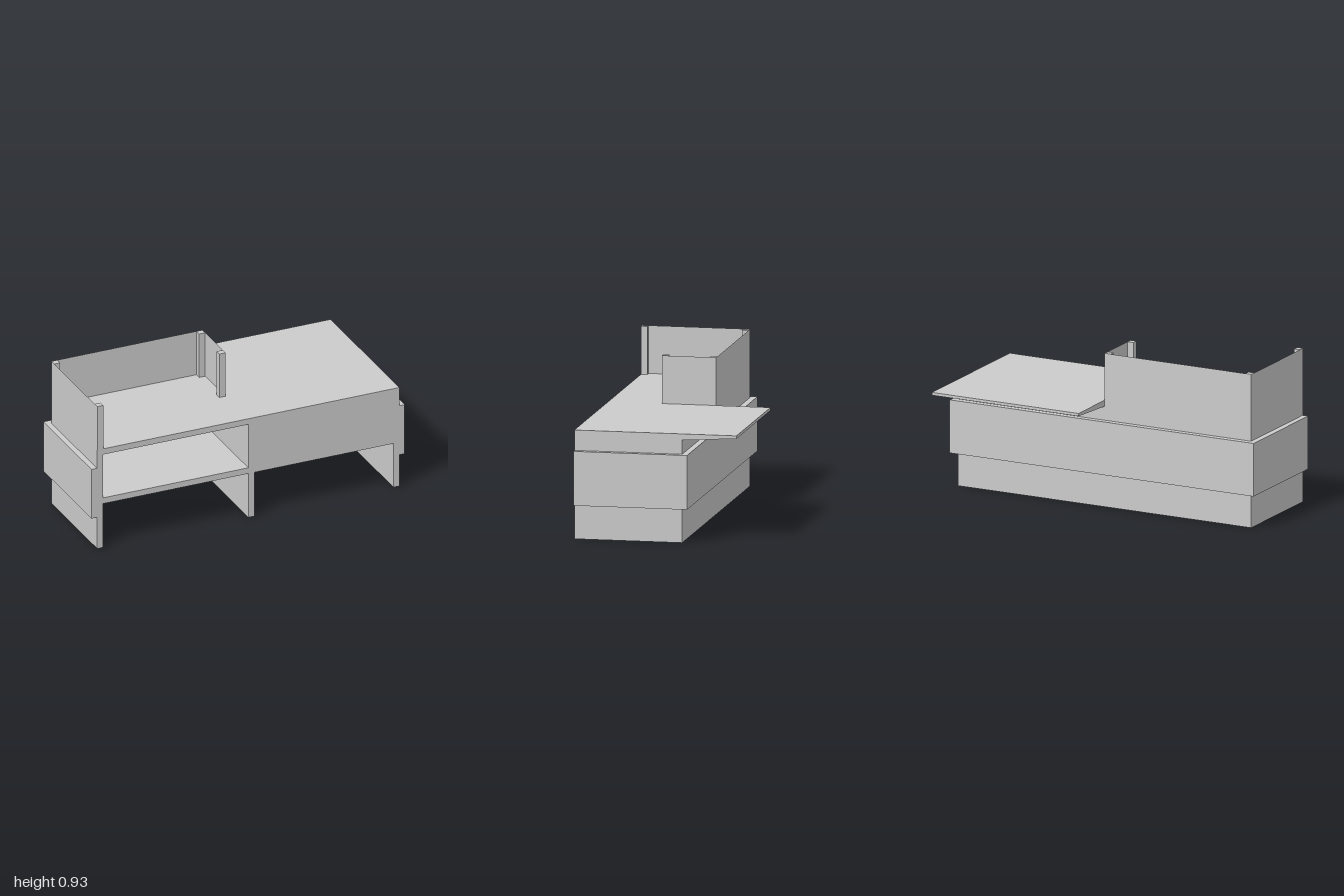
import * as THREE from 'three';

const material = new THREE.MeshStandardMaterial({ color: 0xcccccc, side: THREE.DoubleSide, flatShading: true });

export function createModel() {
  const desk = new THREE.Group();
  desk.name = 'receptionDesk';

  // Box given by its limits on each axis
  const box = (name, x0, x1, y0, y1, z0, z1) => {
    const mesh = new THREE.Mesh(new THREE.BoxGeometry(x1 - x0, y1 - y0, z1 - z0), material);
    mesh.position.set((x0 + x1) / 2, (y0 + y1) / 2, (z0 + z1) / 2);
    mesh.name = name;
    desk.add(mesh);
  };

  const X = 0.965, T = 0.038, BACK = -0.16, FRONT = 0.48;
  const SHELF = 0.285, UNDER = 0.605, TOP = 0.642, RAIL = 0.925;

  // Carcass: side walls, back wall, centre support, shelf and drawer block
  box('leftWall', X - T, X, 0, UNDER, BACK, FRONT);
  box('rightWall', -X, -X + T, 0, UNDER, BACK, FRONT);
  box('backWall', -X + T, X - T, 0, UNDER, BACK, BACK + T);
  box('centreSupport', 0, T, 0, SHELF, BACK + T, FRONT);
  box('shelf', -X + T, 0, SHELF, SHELF + T, BACK + T, FRONT);
  box('closedCabinet', 0, X - T, SHELF, UNDER, BACK + T, FRONT);

  // Raised cladding band around the sides and back
  const bandFront = 0.477;
  box('bandBack', -1, 1, 0.202, 0.522, -0.196, BACK);
  for (const [name, s] of [['bandLeft', 1], ['bandRight', -1]])
    box(name, Math.min(s, s * X), Math.max(s, s * X), 0.202, 0.522, BACK, bandFront);

  // Worktop, with a tapered overhang behind the left half
  box('worktop', -X, 0, UNDER, TOP, BACK, FRONT);
  const profile = new THREE.Shape([
    [-FRONT, UNDER], [-BACK, UNDER], [0.482, 0.625], [0.482, TOP], [-FRONT, TOP],
  ].map(([x, y]) => new THREE.Vector2(x, y)));
  const overhang = new THREE.Mesh(
    new THREE.ExtrudeGeometry(profile, { depth: X, bevelEnabled: false }), material);
  overhang.rotation.y = Math.PI / 2; // profile x becomes -z, depth becomes +x
  overhang.name = 'overhangingWorktop';
  desk.add(overhang);

  // Screen: four posts carrying thin panels on their outer faces
  const e = 0.001;
  for (const [x, z] of [[-X + e, FRONT - T], [-X + e, BACK + e], [-T - e, BACK + e], [-T - e, 0.162 - T]])
    box('screenPost', x, x + T, TOP, RAIL, z, z + T);

  const panel = (name, x0, z0, x1, z1) => {
    const length = Math.hypot(x1 - x0, z1 - z0);
    const mesh = new THREE.Mesh(new THREE.PlaneGeometry(length, RAIL - TOP), material);
    mesh.position.set((x0 + x1) / 2, (TOP + RAIL) / 2, (z0 + z1) / 2);
    mesh.rotation.y = -Math.atan2(z1 - z0, x1 - x0);
    mesh.name = name;
    desk.add(mesh);
  };
  panel('screenOuterPanel', -X, BACK, -X, FRONT);
  panel('screenBackPanel', 0, BACK, -X, BACK);
  panel('screenInnerPanel', 0, 0.162, 0, BACK);

  return desk;
}
